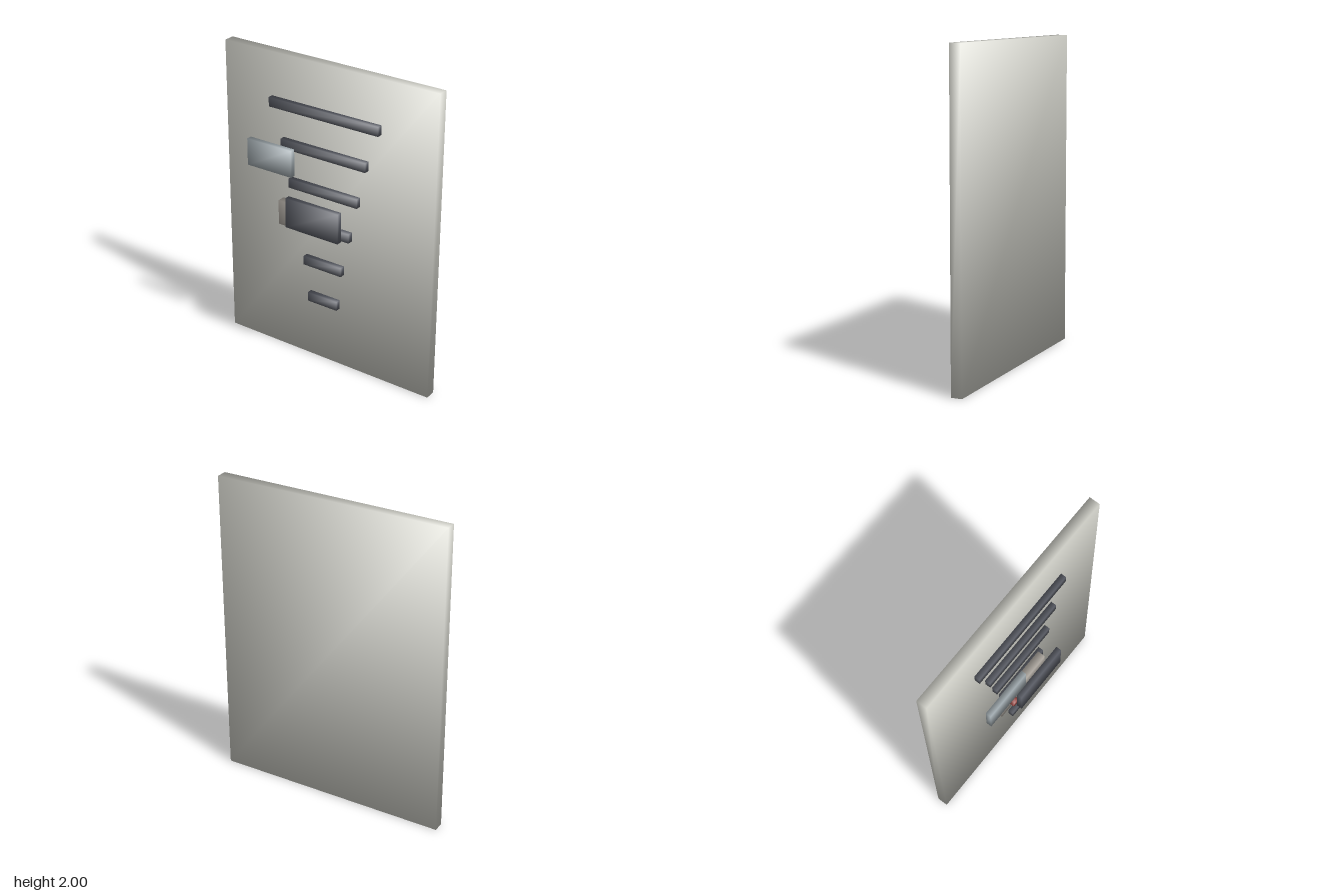
import * as THREE from 'three';
import { mergeVertices } from 'three/addons/utils/BufferGeometryUtils.js';

const paint = (color) => new THREE.MeshStandardMaterial({ color });

// Box between two corners, with normals blended softly across its edges
function softBox(name, [x0, x1], [y0, y1], [z0, z1], material) {
  const geometry = new THREE.BoxGeometry(x1 - x0, y1 - y0, z1 - z0);
  const { position, normal } = geometry.attributes;
  const n = new THREE.Vector3();
  for (let i = 0; i < position.count; i++) {
    n.set(Math.sign(position.getX(i)), Math.sign(position.getY(i)), Math.sign(position.getZ(i))).normalize();
    normal.setXYZ(i, n.x, n.y, n.z);
  }
  const mesh = new THREE.Mesh(geometry, material);
  mesh.position.set((x0 + x1) / 2, (y0 + y1) / 2, (z0 + z1) / 2);
  mesh.name = name;
  return mesh;
}

export function createModel() {
  const model = new THREE.Group();
  model.name = 'wallChart';
  const dark = paint(0x5a5d66);

  // Large backing board
  model.add(softBox('board', [-0.757, 0.757], [0, 2], [-0.125, -0.055], paint(0xd2d2ca)));

  // Rows of bars, shrinking towards the bottom
  const rows = new THREE.Group();
  rows.name = 'rowBars';
  [0.392, 0.308, 0.252, 0.196, 0.14, 0.11].forEach((half, i) => {
    const y = 1.7 - i * 0.25;
    rows.add(softBox(`rowBar${i + 1}`, [-half, half], [y - 0.03, y + 0.03], [-0.037, -0.002], dark));
  });
  model.add(rows);

  // Small block with a hexagonal red button on its face
  model.add(softBox('block', [-0.285, 0.135], [0.937, 1.097], [0.005, 0.056], paint(0xb4aea6)));
  let hex = new THREE.CylinderGeometry(0.028, 0.028, 0.032, 6, 1, false, Math.PI / 6);
  hex.deleteAttribute('normal');
  hex.deleteAttribute('uv');
  hex = mergeVertices(hex);
  hex.rotateX(Math.PI / 2);
  hex.computeVertexNormals();
  const button = new THREE.Mesh(hex, paint(0x9c4a46));
  button.name = 'redButton';
  button.position.set(-0.183, 1.02, 0.07);
  model.add(button);

  // Two floating panels in front
  model.add(softBox('lightPanel', [-0.462, -0.136], [1.315, 1.488], [0.09, 0.125], paint(0xa3adb2)));
  model.add(softBox('darkPanel', [-0.18, 0.204], [0.972, 1.168], [0.09, 0.125], dark));

  return model;
}
